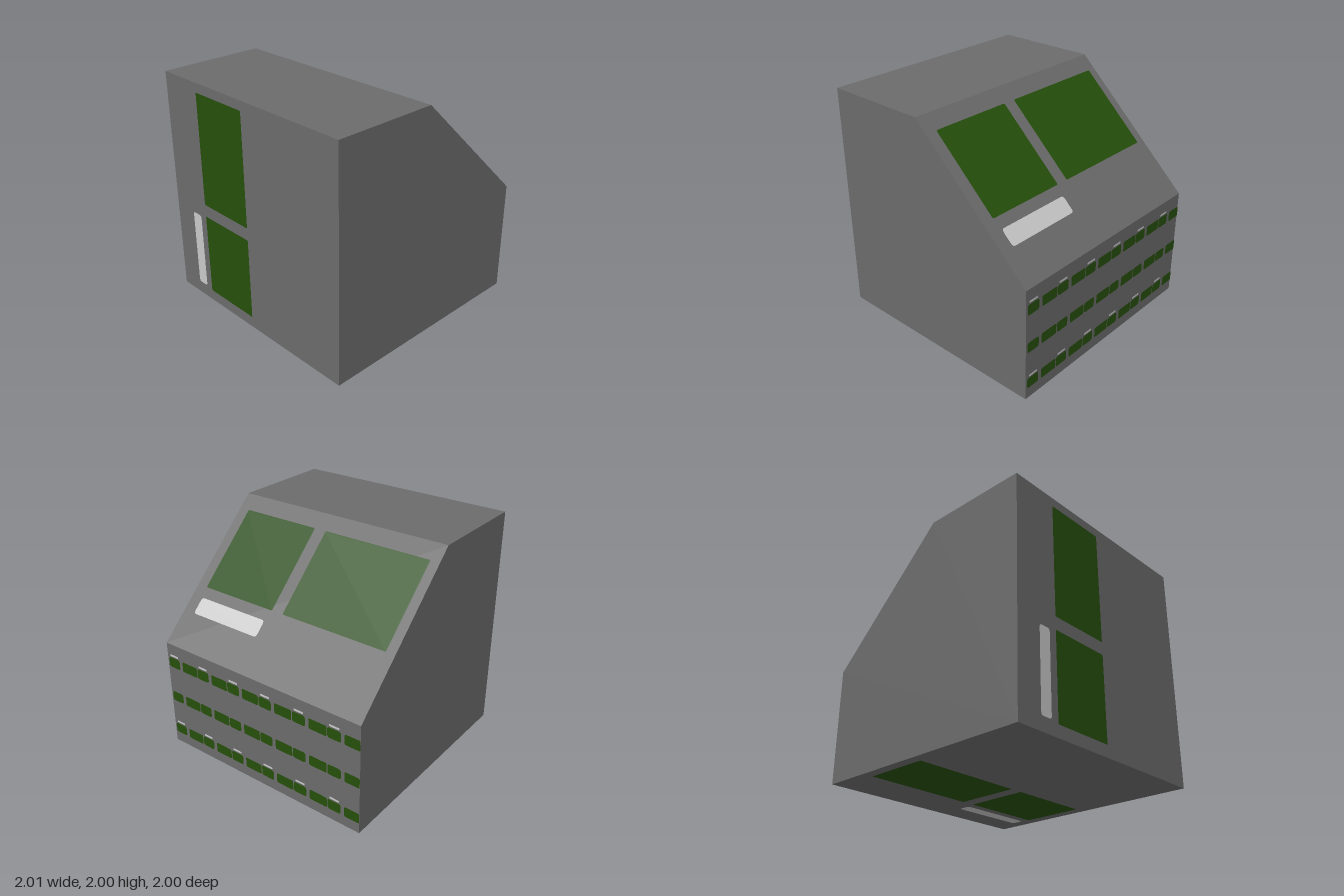
import * as THREE from 'three';

const body = new THREE.MeshStandardMaterial({ name: 'wall grey', color: 0x6b6b6b });
const green = new THREE.MeshStandardMaterial({ name: 'window green', color: 0x264f0c });
const pale = new THREE.MeshStandardMaterial({ name: 'trim pale grey', color: 0xc8c8c8 });

// Flat rounded rectangle spanning two corners
function plate(name, material, u0, u1, v0, v1, r) {
  const s = new THREE.Shape();
  s.moveTo(u0 + r, v0);
  s.lineTo(u1 - r, v0).quadraticCurveTo(u1, v0, u1, v0 + r);
  s.lineTo(u1, v1 - r).quadraticCurveTo(u1, v1, u1 - r, v1);
  s.lineTo(u0 + r, v1).quadraticCurveTo(u0, v1, u0, v1 - r);
  s.lineTo(u0, v0 + r).quadraticCurveTo(u0, v0, u0 + r, v0);
  const mesh = new THREE.Mesh(new THREE.ShapeGeometry(s, 4), material);
  mesh.name = name;
  return mesh;
}

// Places flat plates on a wall given its origin and its two in-plane directions
function onWall(name, origin, uDir, vDir, plates) {
  const u = new THREE.Vector3(...uDir), v = new THREE.Vector3(...vDir);
  const n = u.clone().cross(v).normalize();
  const matrix = new THREE.Matrix4().makeBasis(u, v, n);
  matrix.setPosition(new THREE.Vector3(...origin).addScaledVector(n, 0.003));
  const group = new THREE.Group();
  group.name = name;
  for (const p of plates) {
    p.geometry.applyMatrix4(matrix);
    group.add(p);
  }
  return group;
}

// Two large panes and a bar; side = -1 mirrors the layout
function panePlates(side) {
  const make = (name, mat, u0, u1, a, b, r) =>
    plate(name, mat, u0, u1, Math.min(a * side, b * side), Math.max(a * side, b * side), r);
  return [
    make('longPane', green, 0.03, 0.59, -0.92, 0.06, 0.012),
    make('shortPane', green, 0.03, 0.59, 0.17, 0.9, 0.012),
    make('paleBar', pale, 0.66, 0.77, 0.19, 0.885, 0.025),
  ];
}

// Three rows of small windows; u runs from the front corner to the back
function windowPlates() {
  const plates = [];
  for (const [y0, y1, capped] of [[0.095, 0.187, true], [0.428, 0.52, false], [0.765, 0.858, true]]) {
    for (let i = 0; i < 6; i++) {
      const u = -0.985 + i * 0.337;
      plates.push(plate('smallWindow', green, u, u + 0.127, y0, y1, 0.022));
      plates.push(plate('wideWindow', green, u + 0.16, Math.min(u + 0.33, 1), y0, y1, 0.014));
      if (capped) plates.push(plate('windowCap', pale, u + 0.018, u + 0.112, y1 + 0.012, y1 + 0.03, 0.008));
    }
  }
  return plates;
}

export function createModel() {
  const model = new THREE.Group();
  model.name = 'slopedBuilding';

  // Solid block with one sloping shoulder
  const eave = 0.985, ridge = -0.08;
  const profile = new THREE.Shape(
    [[-1, 0], [1, 0], [1, eave], [ridge, 2], [-1, 2]].map(([x, y]) => new THREE.Vector2(x, y)));
  const block = new THREE.ExtrudeGeometry(profile, { depth: 2, bevelEnabled: false });
  block.translate(0, 0, -1);
  const walls = new THREE.Mesh(block, body);
  walls.name = 'buildingBlock';
  model.add(walls);

  // Panes on the slope, the underside and the upright far wall
  const fall = (eave - 2) / (1 - ridge);
  model.add(
    onWall('slopePanes', [0, 2 - ridge * fall, 0], [1, fall, 0], [0, 0, -1], panePlates(-1)),
    onWall('undersidePanes', [0, 0, 0], [1, 0, 0], [0, 0, 1], panePlates(1)),
    onWall('rightWallPanes', [-1, 1, 0], [0, 0, -1], [0, -1, 0], panePlates(1)),
    onWall('leftWallWindows', [1, 0, 0], [0, 0, -1], [0, 1, 0], windowPlates()),
  );
  return model;
}
